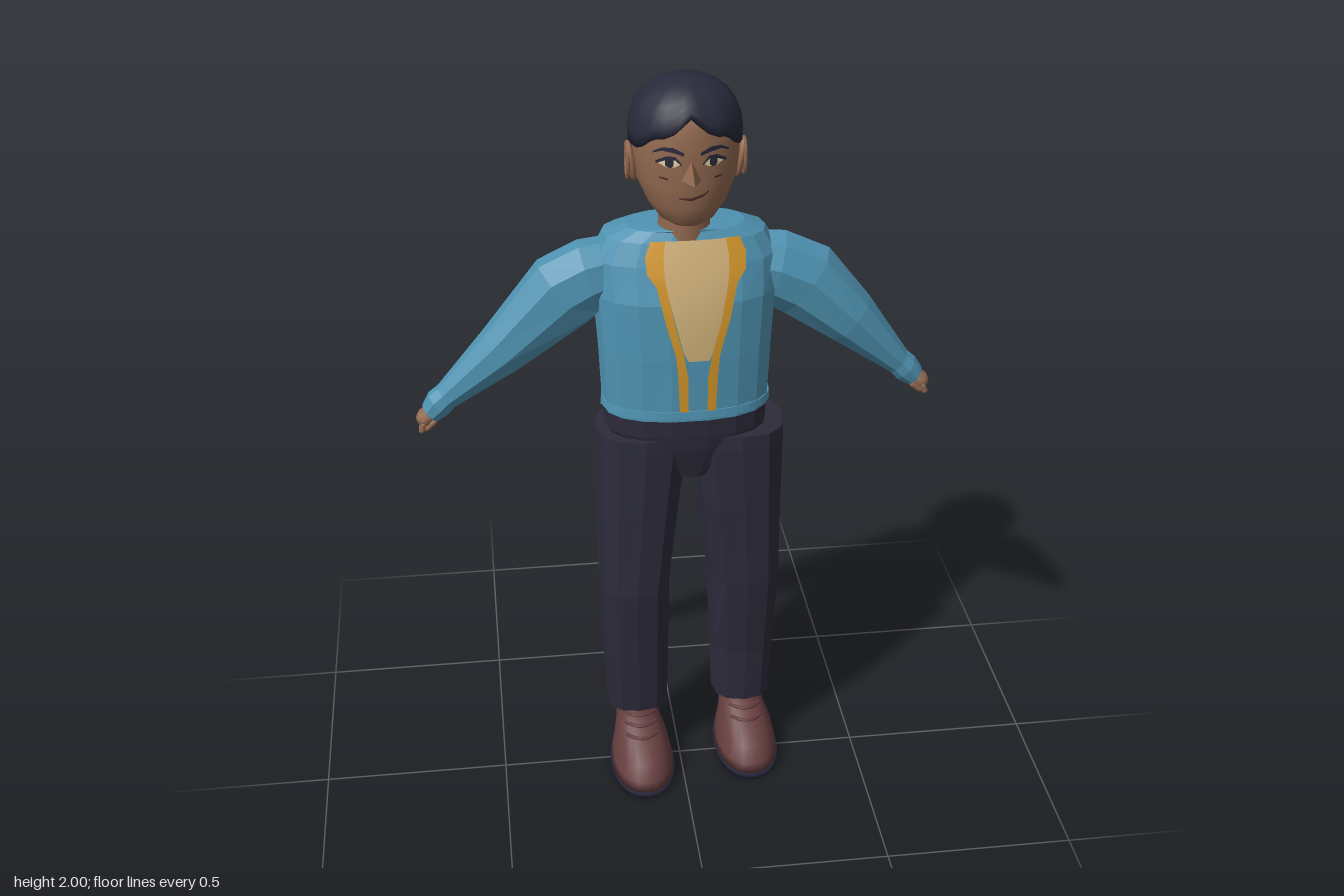
import * as THREE from 'three';

const mat = (name, color, extra = {}) => new THREE.MeshStandardMaterial({ name, color, side: THREE.DoubleSide, ...extra });

// Closed skin over elliptical rings [cx, cy, cz, rx, rz, tilt], listed from bottom to top.
function loft(rings, n = 16, p = 1) {
  const pos = [], idx = [];
  const bend = (v) => Math.sign(v) * Math.abs(v) ** p;
  for (const [cx, cy, cz, rx, rz, tilt = 0] of rings) {
    for (let j = 0; j < n; j++) {
      const a = (j / n) * Math.PI * 2, r = rx * bend(Math.cos(a));
      pos.push(cx + r * Math.cos(tilt), cy + r * Math.sin(tilt), cz + rz * bend(Math.sin(a)));
    }
  }
  const last = rings.length - 1, base = rings.length * n;
  pos.push(...rings[0].slice(0, 3), ...rings[last].slice(0, 3));
  for (let j = 0; j < n; j++) {
    const k = (j + 1) % n;
    for (let i = 0; i < last; i++) {
      const a = i * n + j, b = i * n + k;
      idx.push(a, a + n, b, b, a + n, b + n);
    }
    idx.push(base, j, k, base + 1, last * n + k, last * n + j);
  }
  return build(pos, idx);
}

function build(pos, idx) {
  const g = new THREE.BufferGeometry();
  g.setAttribute('position', new THREE.Float32BufferAttribute(pos, 3));
  g.setIndex(idx);
  g.computeVertexNormals();
  return g;
}

// Moves each vertex by a rule.
function reshape(g, rule) {
  const P = g.attributes.position, v = new THREE.Vector3();
  for (let i = 0; i < P.count; i++) {
    v.fromBufferAttribute(P, i);
    rule(v, i);
    P.setXYZ(i, v.x, v.y, v.z);
  }
  g.computeVertexNormals();
  return g;
}

// Front z of a lofted body at (x, y).
const frontOf = (rings, p = 1) => (x, y) => {
  let i = 0;
  while (i < rings.length - 2 && rings[i + 1][1] < y) i++;
  const A = rings[i], B = rings[i + 1], t = THREE.MathUtils.clamp((y - A[1]) / (B[1] - A[1]), 0, 1);
  const [cx, , cz, rx, rz] = A.map((a, k) => a + (B[k] - a) * t);
  const u = Math.min(1, Math.abs((x - cx) / rx));
  return cz + rz * (1 - u ** (2 / p)) ** (p / 2);
};

// Thin painted strip between two edges; rows are [x0, y0, x1, y1] from top to bottom.
function strip(front, rows, offset, n = 6) {
  const pos = [], idx = [];
  rows.forEach(([x0, y0, x1, y1], r) => {
    for (let j = 0; j <= n; j++) {
      const x = x0 + ((x1 - x0) * j) / n, y = y0 + ((y1 - y0) * j) / n;
      pos.push(x, y, front(x, y) + offset);
      if (r && j) {
        const d = r * (n + 1) + j, b = d - n - 1;
        idx.push(b - 1, d - 1, b, b, d - 1, d);
      }
    }
  });
  return build(pos, idx);
}

export function createModel() {
  const flat = { flatShading: true };
  const blue = mat('sweater blue', 0x4f93b2, flat), navy = mat('trouser navy', 0x2d2b3b, flat);
  const skin = mat('skin brown', 0x91684f), hairM = mat('hair black', 0x29293b);
  const gold = mat('trim gold', 0xd0942a), tan = mat('shirt tan', 0xcdae78);
  const leather = mat('shoe leather', 0x673f40), sole = mat('sole dark', 0x24243a);
  const white = mat('eye cream', 0xe3d2a4), dark = mat('mouth dark', 0x4a2a25);

  const model = new THREE.Group();
  const add = (name, geo, m, parent = model) => {
    const mesh = new THREE.Mesh(geo, m);
    mesh.name = name;
    parent.add(mesh);
    return mesh;
  };

  // Sweater body
  const body = [
    [0.02, 1.13, -0.05, 0.215, 0.125], [0.02, 1.3, -0.05, 0.222, 0.125], [0.02, 1.45, -0.06, 0.232, 0.13],
    [0.02, 1.54, -0.077, 0.236, 0.118], [0.02, 1.595, -0.083, 0.205, 0.104], [0.02, 1.62, -0.07, 0.15, 0.08],
    [0.02, 1.625, -0.05, 0.08, 0.065]];
  add('sweater', loft(body, 18, 0.85), blue);
  const chest = frontOf(body, 0.85);

  // Ragged hem hanging at the back
  const hem = [[0.02, 0, -0.05, 0.219, 0.129], [0.02, 1.16, -0.05, 0.217, 0.127]];
  add('sweaterHem', reshape(loft(hem, 52, 0.85), (v, i) => {
    if (v.y > 1) return;
    const back = THREE.MathUtils.clamp((-0.03 - v.z) / 0.13, 0, 1);
    v.y = i >= 104 ? 1.13 : 1.14 - back * (0.045 + [0, 0.015, 0.035, 0.012][i % 4]);
  }), blue);

  // Open neck with shirt, trim and hanging cords
  add('shirtFront', strip(chest, [[-0.045, 1.605, 0.125, 1.605], [-0.045, 1.57, 0.125, 1.57], [-0.045, 1.52, 0.12, 1.52],
    [-0.025, 1.43, 0.1, 1.43], [0, 1.33, 0.075, 1.33], [0.012, 1.305, 0.065, 1.305]], 0.009), tan);
  for (const s of [-1, 1]) {
    const X = (x) => 0.036 + s * x;
    const rows = [[0.075, 0.11, 1.605], [0.08, 0.125, 1.57], [0.08, 0.122, 1.53], [0.076, 0.1, 1.5], [0.058, 0.08, 1.41],
      [0.035, 0.055, 1.32], [0.025, 0.05, 1.26], [0.024, 0.046, 1.165]];
    add('collarTrim', strip(chest, rows.map(([a, b, y]) => [X(a), y, X(b), y]), 0.012, 3), gold);
  }

  // Sleeves and hands
  const arms = {
    left: [[0.63, 1.15, -0.07, 0.03, 0.032, 0.89], [0.605, 1.175, -0.07, 0.038, 0.038, 0.89], [0.585, 1.195, -0.071, 0.036, 0.038, 0.89],
      [0.45, 1.33, -0.075, 0.075, 0.068, 0.89], [0.33, 1.44, -0.077, 0.103, 0.076, 0.95], [0.25, 1.48, -0.077, 0.1, 0.078, 1.3],
      [0.17, 1.5, -0.08, 0.085, 0.07, 1.45]],
    right: [[-0.635, 1.13, -0.055, 0.03, 0.03, -0.85], [-0.612, 1.155, -0.056, 0.039, 0.038, -0.85], [-0.59, 1.175, -0.057, 0.036, 0.037, -0.85],
      [-0.445, 1.295, -0.062, 0.07, 0.062, -0.85], [-0.285, 1.445, -0.066, 0.106, 0.073, -0.92], [-0.22, 1.48, -0.07, 0.1, 0.076, -1.3],
      [-0.14, 1.5, -0.08, 0.085, 0.07, -1.45]] };
  for (const [side, rings] of Object.entries(arms)) {
    add(side + 'Sleeve', loft(rings, 9), blue);
    const s = side === 'left' ? 1 : -1, [wx, wy, wz, , , t] = rings[0];
    const hand = new THREE.Group();
    hand.name = side + 'Hand';
    hand.position.set(wx, wy, wz);
    hand.rotation.z = t;
    model.add(hand);
    add('palm', loft([[0, -0.035, 0, 0.018, 0.026], [0, -0.02, 0, 0.024, 0.032], [0, 0.015, 0, 0.018, 0.022]], 10), skin, hand);
    for (let f = 0; f < 4; f++) {
      const finger = add('finger', new THREE.CapsuleGeometry(0.008, 0.016, 3, 8), skin, hand);
      finger.position.set(-s * 0.008, -0.036, -0.024 + f * 0.016);
      finger.rotation.z = -s * 0.5;
    }
    const thumb = add('thumb', new THREE.CapsuleGeometry(0.008, 0.025, 3, 8), skin, hand);
    thumb.position.set(-s * 0.018, -0.018, 0.02);
  }

  // Trousers
  add('trouserWaist', loft([[0.03, 0.945, -0.05, 0.06, 0.09], [0.025, 1.04, -0.048, 0.19, 0.112],
    [0.02, 1.08, -0.048, 0.212, 0.118], [0.02, 1.142, -0.05, 0.212, 0.123]], 18, 0.85), navy);
  const legs = {
    left: [[0.183, 0.18, -0.075, 0.083, 0.085], [0.183, 0.35, -0.07, 0.09, 0.09], [0.181, 0.6, -0.057, 0.1, 0.108],
      [0.165, 0.85, -0.05, 0.115, 0.115], [0.155, 1.03, -0.048, 0.126, 0.118], [0.155, 1.07, -0.048, 0.124, 0.116]],
    right: [[-0.115, 0.18, -0.05, 0.085, 0.078], [-0.118, 0.35, -0.035, 0.09, 0.085], [-0.122, 0.6, -0.02, 0.096, 0.1],
      [-0.106, 0.85, -0.035, 0.11, 0.11], [-0.094, 1.03, -0.048, 0.124, 0.118], [-0.094, 1.07, -0.048, 0.122, 0.116]] };
  for (const [side, rings] of Object.entries(legs)) add(side + 'TrouserLeg', loft(rings, 12, 0.8), navy);

  // Shoes
  for (const [side, x, z] of [['left', 0.19, 0], ['right', -0.112, 0.045]]) {
    const shoe = new THREE.Group();
    shoe.name = side + 'Shoe';
    shoe.position.set(x, 0, z);
    model.add(shoe);
    const upper = [[0, 0.022, -0.005, 0.086, 0.153], [0, 0.05, -0.007, 0.083, 0.149], [0, 0.085, -0.022, 0.075, 0.132],
      [-0.003, 0.115, -0.043, 0.066, 0.11], [-0.006, 0.145, -0.07, 0.058, 0.083], [-0.008, 0.17, -0.086, 0.052, 0.065],
      [-0.008, 0.22, -0.088, 0.048, 0.058]];
    add('shoeUpper', loft(upper, 24, 0.9), leather, shoe);
    add('shoeSole', loft([[0, 0, -0.005, 0.085, 0.152], [0, 0.022, -0.005, 0.09, 0.157]], 24, 0.9), sole, shoe);
    for (let i = 0; i < 3; i++) {
      const y = 0.125 + i * 0.018, f = frontOf(upper, 0.9)(0, y);
      const lace = new THREE.QuadraticBezierCurve3(new THREE.Vector3(-0.045, y + 0.005, f - 0.03),
        new THREE.Vector3(0, y + 0.012, f + 0.03), new THREE.Vector3(0.04, y + 0.005, f - 0.03));
      add('lace', new THREE.TubeGeometry(lace, 8, 0.005, 6), leather, shoe);
    }
  }

  // Head and neck
  add('neck', new THREE.CylinderGeometry(0.062, 0.066, 0.1, 20), skin).position.set(0.016, 1.64, -0.045);
  const skull = [[0.02, 1.645, -0.02, 0.045, 0.05], [0.02, 1.66, -0.02, 0.068, 0.07], [0.02, 1.7, -0.026, 0.097, 0.09],
    [0.02, 1.76, -0.044, 0.124, 0.112], [0.02, 1.82, -0.05, 0.131, 0.118], [0.02, 1.88, -0.052, 0.13, 0.119],
    [0.02, 1.93, -0.05, 0.11, 0.1], [0.02, 1.96, -0.05, 0.07, 0.07]];
  add('head', loft(skull, 28), skin);
  const face = frontOf(skull);
  for (const s of [-1, 1]) {
    const ear = add('ear', new THREE.SphereGeometry(1, 14, 10), skin);
    ear.scale.set(0.013, 0.052, 0.031);
    ear.position.set(0.02 + s * 0.132, 1.79, -0.045);
    ear.rotation.z = -s * 0.15;
    const rim = add('earRim', new THREE.TorusGeometry(0.026, 0.005, 6, 18), skin);
    rim.scale.y = 1.6;
    rim.rotation.y = Math.PI / 2;
    rim.position.set(0.02 + s * 0.142, 1.792, -0.045);

    // Eyes, lids and brows
    const X = (x) => 0.02 + s * x;
    const rows = (list) => list.map(([x, a, b]) => [X(x), a, X(x), b]);
    add('eye', strip(face, rows([[0.028, 1.82, 1.817], [0.04, 1.833, 1.81], [0.058, 1.833, 1.809], [0.076, 1.822, 1.817]]), 0.004, 2), white);
    add('iris', strip(face, rows([[0.043, 1.828, 1.815], [0.049, 1.833, 1.81], [0.056, 1.833, 1.81], [0.062, 1.828, 1.815]]), 0.007, 2), hairM);
    add('eyelid', strip(face, rows([[0.025, 1.822, 1.817], [0.04, 1.84, 1.832], [0.06, 1.84, 1.831], [0.084, 1.826, 1.819]]), 0.014, 2), hairM);
    add('eyebrow', strip(face, rows([[0.02, 1.85, 1.842], [0.045, 1.862, 1.85], [0.07, 1.861, 1.853], [0.09, 1.848, 1.844]]), 0.016, 2), hairM);
    add('cheekMark', strip(face, rows([[0.055, 1.782, 1.777], [0.075, 1.784, 1.78]]), 0.005, 2), dark);
  }
  add('mouth', strip(face, [[-0.01, 1.733, -0.01, 1.73], [0.02, 1.733, 0.02, 1.725], [0.05, 1.741, 0.05, 1.735], [0.062, 1.75, 0.062, 1.747]], 0.004, 2), dark);
  // Wedge nose
  add('nose', build([0.02, 1.825, 0.068, -0.004, 1.775, 0.064, 0.044, 1.775, 0.064, 0.02, 1.783, 0.13, 0.02, 1.768, 0.066],
    [0, 1, 3, 0, 3, 2, 1, 4, 3, 4, 2, 3]).toNonIndexed(), skin).geometry.computeVertexNormals();

  // Ridged cap of hair with a parted fringe
  const levels = [0, 0.2, 0.4, 0.6, 0.75, 0.88, 0.96, 1].map((t) => [0, t, 0, 1, 1]);
  add('hair', reshape(loft(levels, 40), (v, i) => {
    if (i >= 320) return v.set(0.02, i === 320 ? 1.86 : 1.992, -0.06);
    const a = Math.atan2(v.z, v.x), c = Math.abs(Math.cos(a)), s = Math.sin(a);
    const line = (s > 0 ? 1.92 - 0.085 * c : 1.835 + 0.04 * s) + 0.006 * Math.sin(a * 9);
    const y = line + (1.995 - line) * v.y, h = (y - 1.865) / 0.131;
    const round = h > 0 ? Math.max(0, 1 - h ** 2.3) ** 0.5 : 1 - 0.12 * h * h;
    const r = round * (0.97 + 0.03 * Math.abs(Math.sin(a * 5)));
    v.set(0.02 + 0.14 * r * v.x, y, -0.06 + 0.136 * r * v.z);
  }), hairM);

  return model;
}
